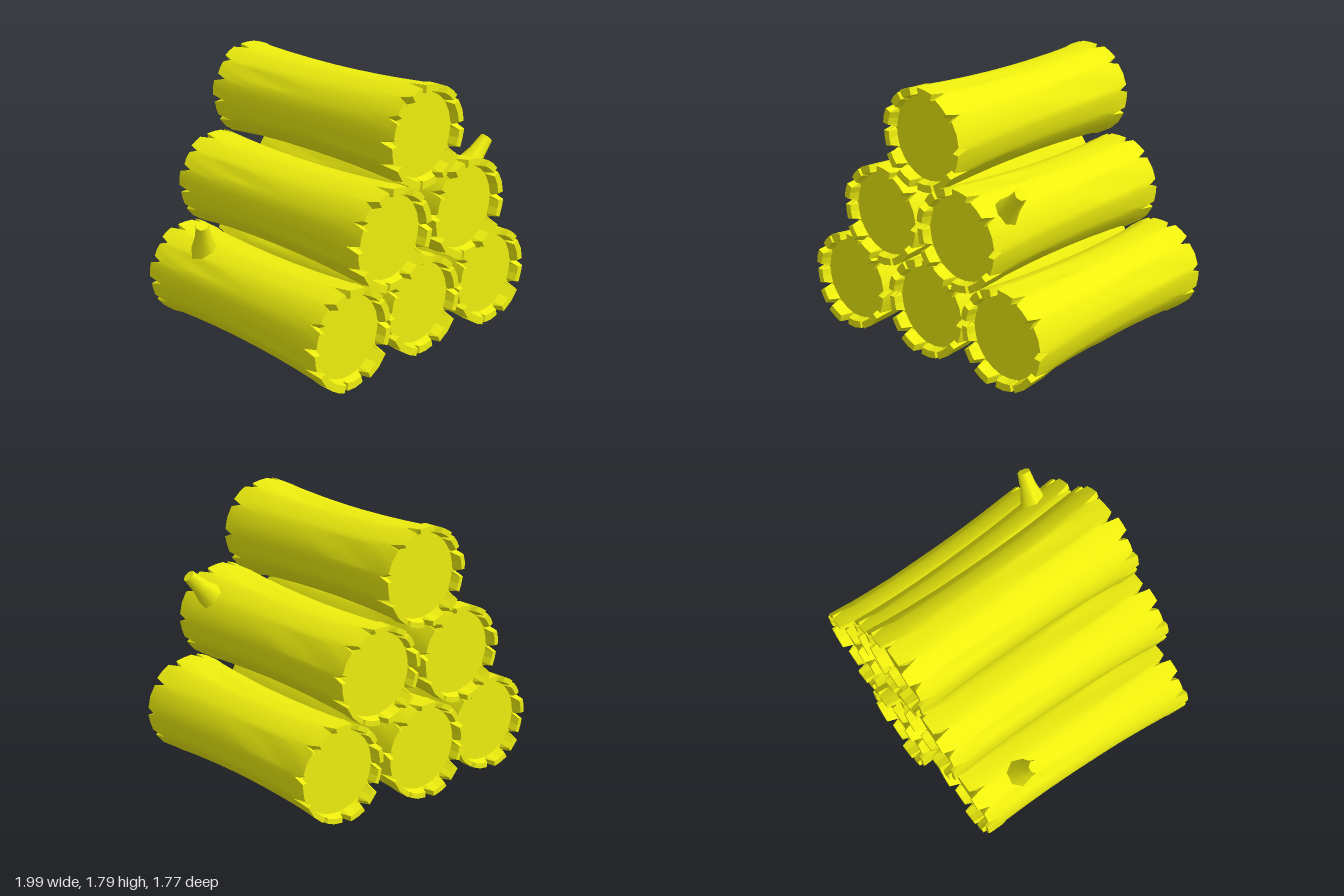
import * as THREE from 'three';

const material = new THREE.MeshStandardMaterial({ color: 0xeeee0e, roughness: 0.9 });
const DEG = Math.PI / 180;

// Angles of the splits in the bark, in degrees round the log
const SPLITS = [5, 42, 72, 103, 128, 153, 180, 207, 232, 262, 294, 335];
const TAB_OUT = [0, 0.015, -0.005, 0.01, -0.01, 0.01, 0, 0.015, 0.02, -0.005, 0.015, 0.005];

// Four columns per split: edge, split, edge, middle of the tab
const columns = SPLITS.flatMap((deg, i) => {
  const a = deg * DEG;
  const next = (SPLITS[(i + 1) % 12] + (i === 11 ? 360 : 0)) * DEG;
  const before = TAB_OUT[(i + 11) % 12], after = TAB_OUT[i];
  return [
    { a: a - 0.08, tab: before, split: 0, id: i },
    { a, tab: 0, split: 0.07 + 0.015 * (i % 4), id: i },
    { a: a + 0.08, tab: after, split: 0, id: i },
    { a: (a + next) / 2, tab: after, split: 0, id: i },
  ];
});

// Waisted radius: narrow in the middle, flaring at both ends
const radiusAt = (z) => 0.287 + 0.042 * Math.pow(Math.min(1, Math.abs(z + 0.12) / 0.9), 2);

// Surface through rings of points, closed round the log
function sheet(rings, flat) {
  const n = columns.length, pos = [], index = [];
  rings.forEach((ring) => ring.forEach((p) => pos.push(p.x, p.y, p.z)));
  for (let r = 0; r < rings.length - 1; r++) {
    for (let c = 0; c < n; c++) {
      const a = r * n + c, b = r * n + ((c + 1) % n);
      index.push(a, b, b + n, a, b + n, a + n);
    }
  }
  let g = new THREE.BufferGeometry();
  g.setAttribute('position', new THREE.Float32BufferAttribute(pos, 3));
  g.setIndex(index);
  if (flat) g = g.toNonIndexed();
  g.computeVertexNormals();
  return g;
}

function createLog(name, front, back) {
  const [fx, fy, fz] = front, [bx, by, bz] = back;
  const half = (fz - bz) / 2, mid = (fz + bz) / 2;

  // Place a point given angle, radius and local z along the leaning axis
  const place = (a, r, z) => {
    const t = (z / half + 1) / 2;
    const angle = a - z * 0.09;
    return new THREE.Vector3(
      bx + (fx - bx) * t + r * Math.cos(angle),
      by + (fy - by) * t + r * Math.sin(angle),
      mid + z);
  };
  const ring = (rule) => columns.map((c) => { const [r, z] = rule(c); return place(c.a, r, z); });

  const rimOut = (s) => ring((c) => [radiusAt(0.85 * s) + 0.004 * Math.sin(c.id * 5), s * (half + c.tab - c.split)]);
  const rimIn = (s) => ring((c) => [0.283, s * (half + c.tab - (c.split ? 0.055 : 0))]);
  const discEdge = (s) => ring(() => [0.27, s * (half - 0.06)]);
  const discCentre = (s) => ring(() => [0, s * (half - 0.06)]);

  // Bark, with a few shallow cracks sunk into single columns
  const cracked = (i, z) => i % 4 === 3 && (i * 7 + (z > 0 ? 8 : 0)) % 16 === 5 && Math.abs(z) > 0.15;
  const rows = [-0.66, -0.5, -0.3, -0.1, 0.1, 0.3, 0.5, 0.66].map((z) =>
    columns.map((c, i) => place(c.a,
      radiusAt(z) + 0.004 * Math.sin(c.id * 5) - (cracked(i, z) && Math.abs(z) < 0.6 ? 0.014 : 0), z)));

  const log = new THREE.Group();
  log.name = name;
  const add = (part, geometry) => {
    const mesh = new THREE.Mesh(geometry, material);
    mesh.name = part;
    log.add(mesh);
  };
  add('bark', sheet([rimOut(-1), ...rows, rimOut(1)], false));
  add('frontEnd', sheet([rimOut(1), rimIn(1), discEdge(1), discCentre(1)], true));
  add('backEnd', sheet([discCentre(-1), discEdge(-1), rimIn(-1), rimOut(-1)], true));
  return log;
}

// Cut branch: flared at the root, seven-sided
function createBranch(name, root, tip) {
  const from = new THREE.Vector3(...root), to = new THREE.Vector3(...tip);
  const length = from.distanceTo(to);
  const profile = [[0.1, -0.05], [0.092, 0], [0.058, length * 0.5], [0.043, length]]
    .map(([r, y]) => new THREE.Vector2(r, y));
  const group = new THREE.Group();
  group.name = name;
  const side = new THREE.Mesh(new THREE.LatheGeometry(profile, 7), material);
  side.name = 'branchBark';
  const cap = new THREE.Mesh(new THREE.CircleGeometry(0.043, 7), material);
  cap.name = 'branchCut';
  cap.rotation.set(-Math.PI / 2, 0, Math.PI / 2 * 3);
  cap.position.y = length;
  group.add(side, cap);
  group.position.copy(from);
  group.quaternion.setFromUnitVectors(new THREE.Vector3(0, 1, 0), to.sub(from).normalize());
  return group;
}

export function createModel() {
  const model = new THREE.Group();
  model.name = 'logPile';

  // Each log runs from its front centre to its back centre
  const logs = [
    ['bottomRightLog', [-0.67, 0.33, 0.83], [-0.635, 0.33, -0.78]],
    ['bottomMiddleLog', [0.01, 0.33, 0.8], [0.0, 0.33, -0.87]],
    ['bottomLeftLog', [0.665, 0.33, 0.8], [0.64, 0.33, -0.82]],
    ['middleRightLog', [-0.33, 0.89, 0.85], [-0.325, 0.885, -0.82]],
    ['middleLeftLog', [0.35, 0.91, 0.86], [0.3, 0.865, -0.77]],
    ['topLog', [0.005, 1.455, 0.8], [-0.01, 1.445, -0.82]],
  ];
  logs.forEach((l) => model.add(createLog(...l)));

  model.add(createBranch('rearBranch', [-0.775, 0.58, -0.42], [-0.845, 0.785, -0.355]));
  model.add(createBranch('frontBranch', [0.565, 1.09, 0.65], [0.72, 1.255, 0.675]));
  return model;
}
